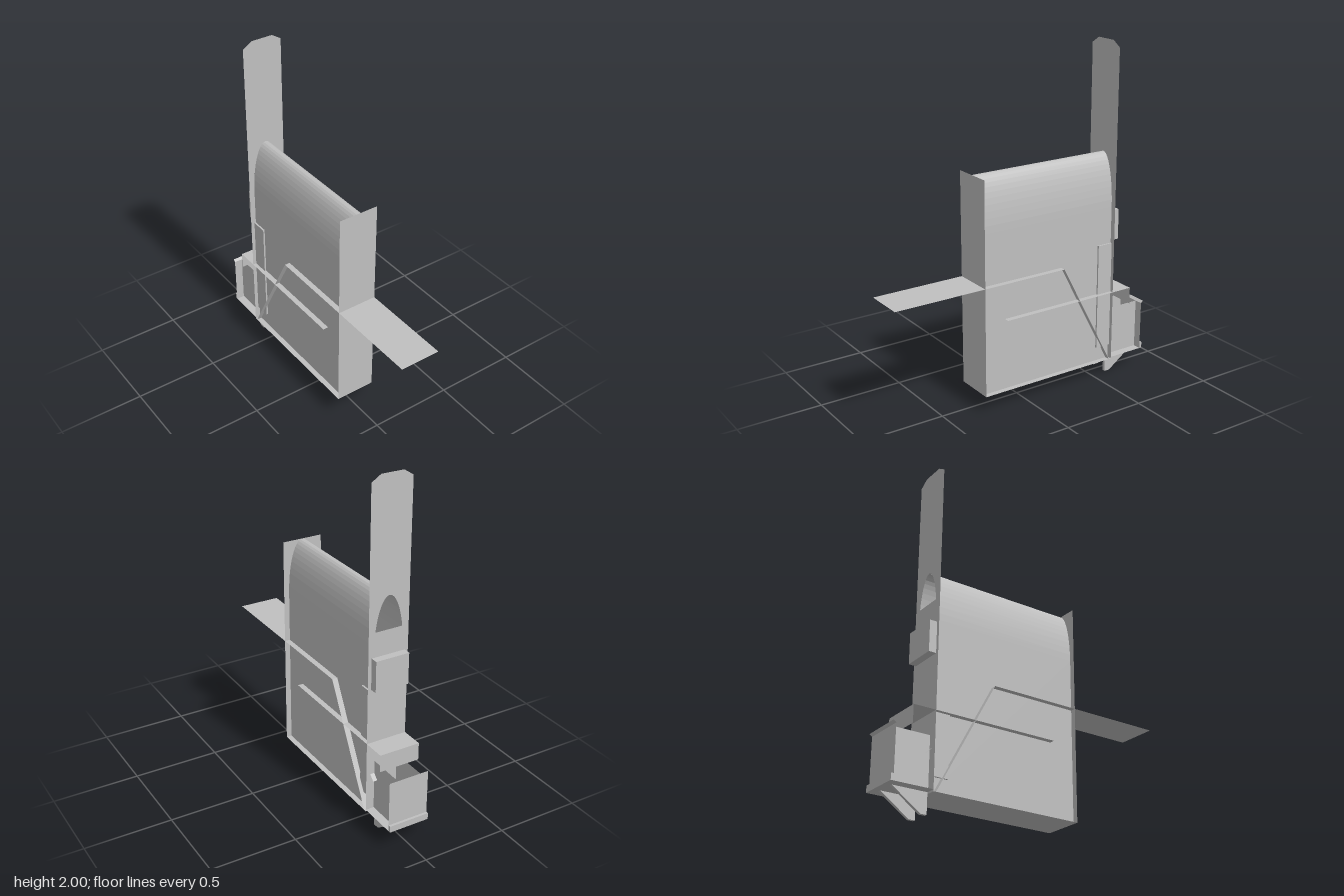
import * as THREE from 'three';

export function createModel() {
  const model = new THREE.Group();
  model.name = 'model';
  const grey = new THREE.MeshStandardMaterial({ color: 0xc0c0c0, side: THREE.DoubleSide, flatShading: true });
  grey.name = 'plain grey';

  const FRONT = 0.285, BACK = -0.6, W = 0.12, FLOOR = 0.105;

  function add(name, geometry) {
    const mesh = new THREE.Mesh(geometry, grey);
    mesh.name = name;
    model.add(mesh);
    return mesh;
  }

  // box given by its lower and upper limits
  function box(name, x0, x1, y0, y1, z0, z1) {
    const g = new THREE.BoxGeometry(x1 - x0, y1 - y0, z1 - z0);
    g.translate((x0 + x1) / 2, (y0 + y1) / 2, (z0 + z1) / 2);
    return add(name, g);
  }

  // folded sheet: a [z, y] path swept across x
  function ribbon(name, path, x0, x1) {
    const pos = [];
    for (let i = 0; i < path.length - 1; i++) {
      const [za, ya] = path[i], [zb, yb] = path[i + 1];
      pos.push(x0, ya, za, x1, ya, za, x1, yb, zb);
      pos.push(x0, ya, za, x1, yb, zb, x0, yb, zb);
    }
    const g = new THREE.BufferGeometry();
    g.setAttribute('position', new THREE.Float32BufferAttribute(pos, 3));
    g.computeVertexNormals();
    return add(name, g);
  }

  // arched cross-section shared by the body and the window
  const RX = 0.088, SPRING = 1.05, RY = 0.31;
  function arch(startAngle, steps) {
    const pts = [];
    for (let i = 0; i <= steps; i++) {
      const a = startAngle + (Math.PI - 2 * startAngle) * i / steps;
      pts.push(new THREE.Vector2(RX * Math.cos(a), SPRING + RY * Math.sin(a)));
    }
    return pts;
  }

  // hollow body: side walls and arched roof
  const section = [new THREE.Vector2(RX, FLOOR), ...arch(0, 24), new THREE.Vector2(-RX, FLOOR)];
  const wall = [];
  for (let i = 0; i < section.length - 1; i++) {
    const a = section[i], b = section[i + 1];
    wall.push(a.x, a.y, FRONT, a.x, a.y, BACK, b.x, b.y, BACK);
    wall.push(a.x, a.y, FRONT, b.x, b.y, BACK, b.x, b.y, FRONT);
  }
  const bodyGeometry = new THREE.BufferGeometry();
  bodyGeometry.setAttribute('position', new THREE.Float32BufferAttribute(wall, 3));
  bodyGeometry.computeVertexNormals();
  add('archedBody', bodyGeometry);

  // floor, front plate and front flap
  ribbon('floor', [[FRONT, FLOOR], [BACK, FLOOR]], -W, W);
  ribbon('frontPlate', [[FRONT, FLOOR], [FRONT, 1.36]], -W, W);
  ribbon('frontFlap', [[FRONT, 0.75], [0.835, 0.75]], -W, W);

  // tall back plate with chamfered top and arched window
  const plate = new THREE.Shape([
    [-W, FLOOR], [W, FLOOR], [W, 1.965], [0.065, 2], [-0.065, 2], [-W, 1.965],
  ].map(([x, y]) => new THREE.Vector2(x, y)));
  plate.holes.push(new THREE.Path(arch(0.4, 20)));
  add('backPlate', new THREE.ShapeGeometry(plate).translate(0, 0, BACK));
  box('backBox', -0.1, 0.1, 0.85, 1.03, -0.643, BACK);

  // canopy over the rear tray
  ribbon('canopy', [[BACK, 0.53], [-0.73, 0.53], [-0.73, 0.43]], -W, W);

  // rear tray
  ribbon('trayFloor', [[BACK, 0.115], [-0.835, 0.115]], -W, W);
  box('trayLip', -W, W, 0.115, 0.152, -0.837, -0.822);
  ribbon('trayBack', [[-0.822, 0.15], [-0.822, 0.41], [-0.837, 0.422]], -W, W);

  // bracket outline in z and y
  const bracket = new THREE.Shape([
    [0.6, 0], [0.635, 0], [0.8, 0.115], [0.6, 0.115],
  ].map(([z, y]) => new THREE.Vector2(z, y)));

  for (const [side, s] of [['left', 1], ['right', -1]]) {
    const span = (a, b) => (s > 0 ? [a, b] : [-b, -a]);
    const edge = span(RX, W);

    // edge strips standing out from the body
    ribbon(side + 'FoldedStrip', [[FRONT, 0.75], [-0.245, 0.75], [-0.585, FLOOR]], ...edge);
    ribbon(side + 'StraightStrip', [[0.137, 0.53], [BACK, 0.53]], ...edge);

    // raised side panel
    box(side + 'SidePanel', ...span(RX - 0.002, 0.098), 0.19, 0.83, BACK, -0.505);

    // tray side wall and small slat
    const trayWall = new THREE.PlaneGeometry(0.222, 0.295);
    trayWall.rotateY(Math.PI / 2).translate(s * 0.07, 0.2625, -0.711);
    add(side + 'TrayWall', trayWall);
    ribbon(side + 'Slat', [[BACK, 0.335], [-0.63, 0.305]], ...span(0.07, 0.095));

    // bracket under the tray
    const g = new THREE.ExtrudeGeometry(bracket, { depth: 0.018, bevelEnabled: false });
    g.rotateY(Math.PI / 2).translate(s * 0.055 - 0.009, 0, 0);
    add(side + 'Bracket', g);
  }
  return model;
}
